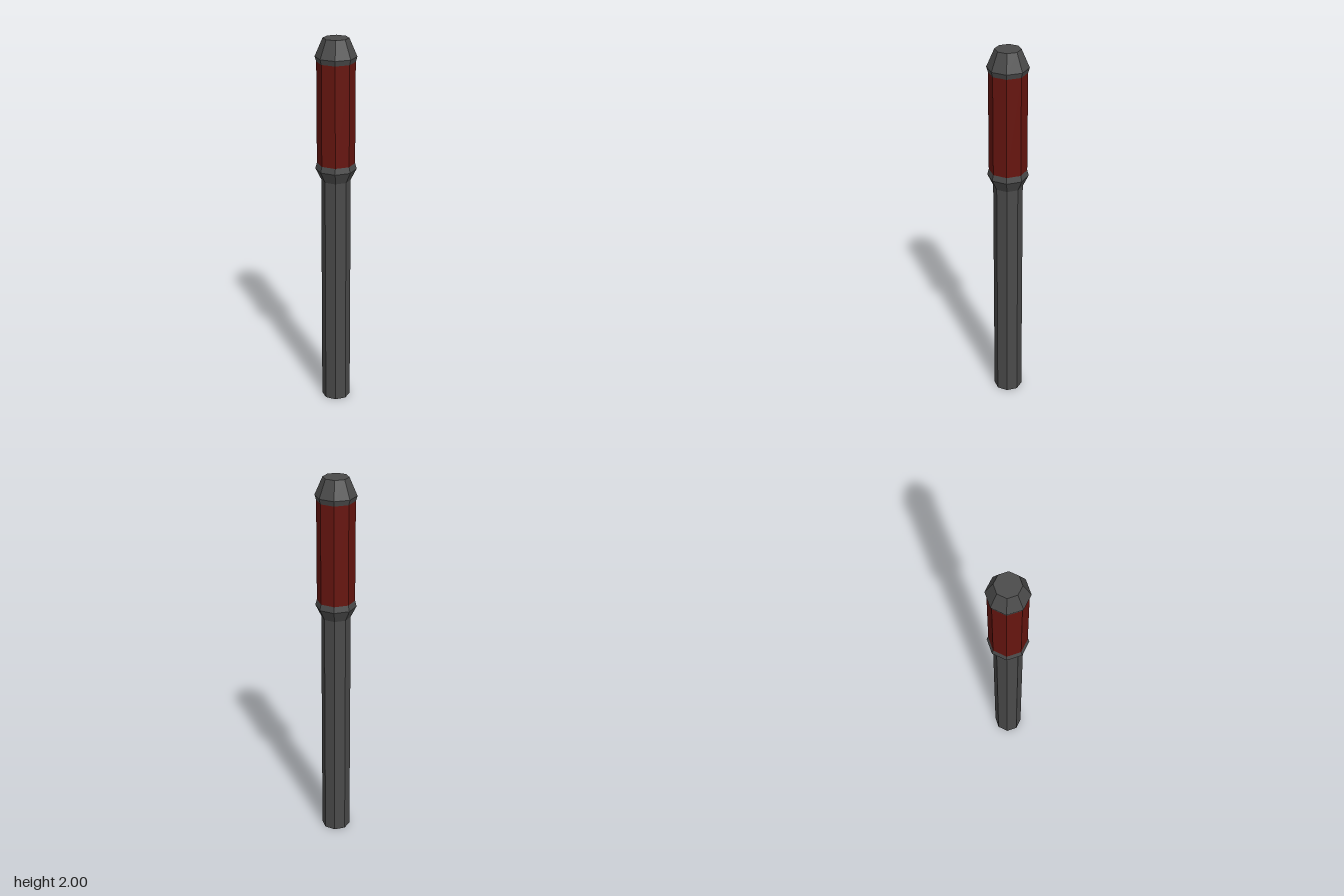
import * as THREE from 'three';

const SIDES = 8;

export function createModel() {
  const model = new THREE.Group();
  model.name = 'batonTool';
  const darkGrey = new THREE.MeshStandardMaterial({ color: 0x4a4a4a, flatShading: true });
  const darkRed = new THREE.MeshStandardMaterial({ color: 0x66150f, flatShading: true });

  // Octagonal section between two heights, with a corner facing the front
  function section(name, y0, r0, y1, r1, material, open = false) {
    const geometry = new THREE.CylinderGeometry(r1, r0, y1 - y0, SIDES, 1, open);
    const mesh = new THREE.Mesh(geometry, material);
    mesh.name = name;
    mesh.position.y = (y0 + y1) / 2;
    model.add(mesh);
  }

  // Long shaft with a flat foot
  section('shaft', 0, 0.076, 1.262, 0.076, darkGrey);

  // Flared collar where the shaft meets the grip
  section('collarFlare', 1.262, 0.076, 1.322, 0.106, darkGrey, true);
  section('collarRim', 1.322, 0.106, 1.353, 0.098, darkGrey, true);

  // Red grip
  section('grip', 1.353, 0.098, 1.88, 0.098, darkRed, true);

  // Tapered end cap with a flat top
  section('capRim', 1.88, 0.098, 1.907, 0.106, darkGrey, true);
  section('capTaper', 1.907, 0.106, 2, 0.066, darkGrey);

  return model;
}
